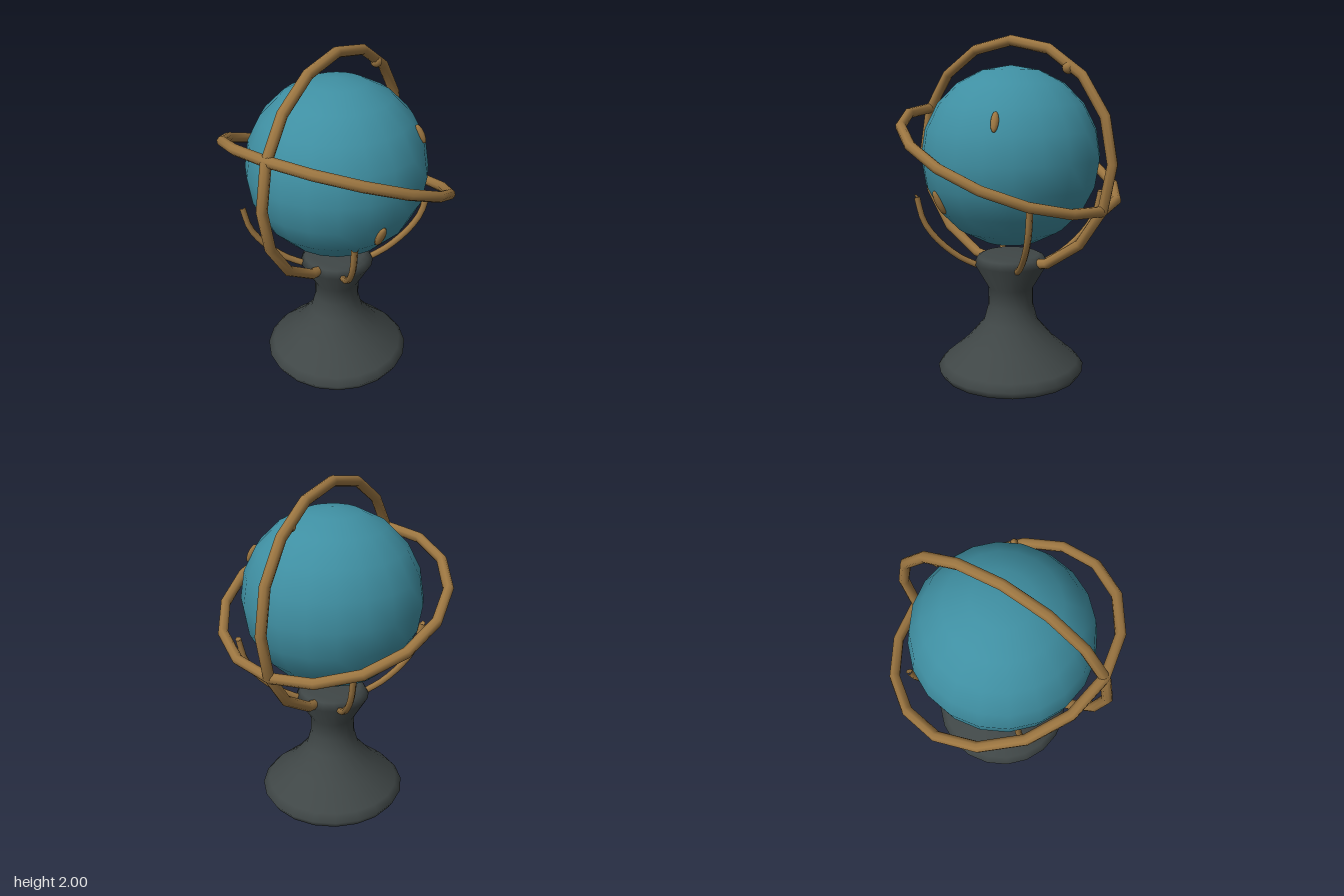
import * as THREE from 'three';

const CENTER_Y = 1.32;
const GLOBE_R = 0.515;

export function createModel() {
  const model = new THREE.Group();
  model.name = 'globeOnStand';

  const material = (name, color) => {
    const m = new THREE.MeshStandardMaterial({ color });
    m.name = name;
    return m;
  };
  const teal = material('teal', 0x3f8fa2);
  const brass = material('brass', 0x9c7641);
  const charcoal = material('charcoal', 0x3f4646);

  const add = (name, geometry, mat, parent = model) => {
    const mesh = new THREE.Mesh(geometry, mat);
    mesh.name = name;
    parent.add(mesh);
    return mesh;
  };

  // Flared pedestal
  const profile = [
    [0, 0], [0.38, 0.003], [0.412, 0.018], [0.436, 0.06], [0.4, 0.1],
    [0.265, 0.217], [0.16, 0.34], [0.133, 0.44], [0.133, 0.545],
    [0.217, 0.69], [0.195, 0.732], [0.165, 0.747], [0, 0.747],
  ].map(([r, y]) => new THREE.Vector2(r, y));
  add('pedestal', new THREE.LatheGeometry(profile, 20), charcoal);

  // Globe
  add('globe', new THREE.SphereGeometry(GLOBE_R, 20, 10), teal).position.y = CENTER_Y;

  // Upright ring and tilted ring
  const ring = new THREE.TorusGeometry(0.65, 0.03, 8, 16);
  add('uprightRing', ring, brass).position.y = CENTER_Y;
  const tilted = add('tiltedRing', ring.clone().rotateX(Math.PI / 2), brass);
  tilted.position.y = CENTER_Y;
  tilted.rotation.z = -THREE.MathUtils.degToRad(23.4);

  // Four curved prongs on the diagonals
  const path = new THREE.CatmullRomCurve3(
    [[0.14, 0.685], [0.215, 0.74], [0.305, 0.85], [0.358, 0.96], [0.383, 1.1]]
      .map(([d, y]) => new THREE.Vector3(d * Math.SQRT2, y, 0)));
  const prong = new THREE.TubeGeometry(path, 10, 0.019, 6);
  const tip = new THREE.CircleGeometry(0.019, 6);
  for (let i = 0; i < 4; i++) {
    const group = new THREE.Group();
    group.name = 'prong' + (i + 1);
    group.rotation.y = Math.PI / 4 + i * Math.PI / 2;
    add('prongArm', prong, brass, group);
    for (const t of [0, 1]) {
      const cap = add('prongCap', tip, brass, group);
      const p = path.getPointAt(t);
      const dir = path.getTangentAt(t).multiplyScalar(t ? 1 : -1);
      cap.position.copy(p);
      cap.lookAt(p.add(dir));
    }
    model.add(group);
  }

  // Flattened oval studs lying on the globe
  const stud = (name, x, y, z, w, h) => {
    const mesh = add(name, new THREE.SphereGeometry(1, 10, 8), brass);
    const normal = new THREE.Vector3(x, y, z).normalize();
    mesh.position.copy(normal).multiplyScalar(GLOBE_R - 0.003);
    mesh.position.y += CENTER_Y;
    mesh.lookAt(mesh.position.clone().add(normal));
    mesh.scale.set(w, h, 0.02);
  };
  stud('upperStud', 0.19, 0.23, 0.42, 0.022, 0.058);
  stud('lowerStud', -0.19, -0.23, 0.42, 0.028, 0.076);

  // Small bead on the upright ring
  add('ringBead', new THREE.SphereGeometry(0.034, 10, 8), brass).position.set(0.378, 1.82, 0.006);

  return model;
}
